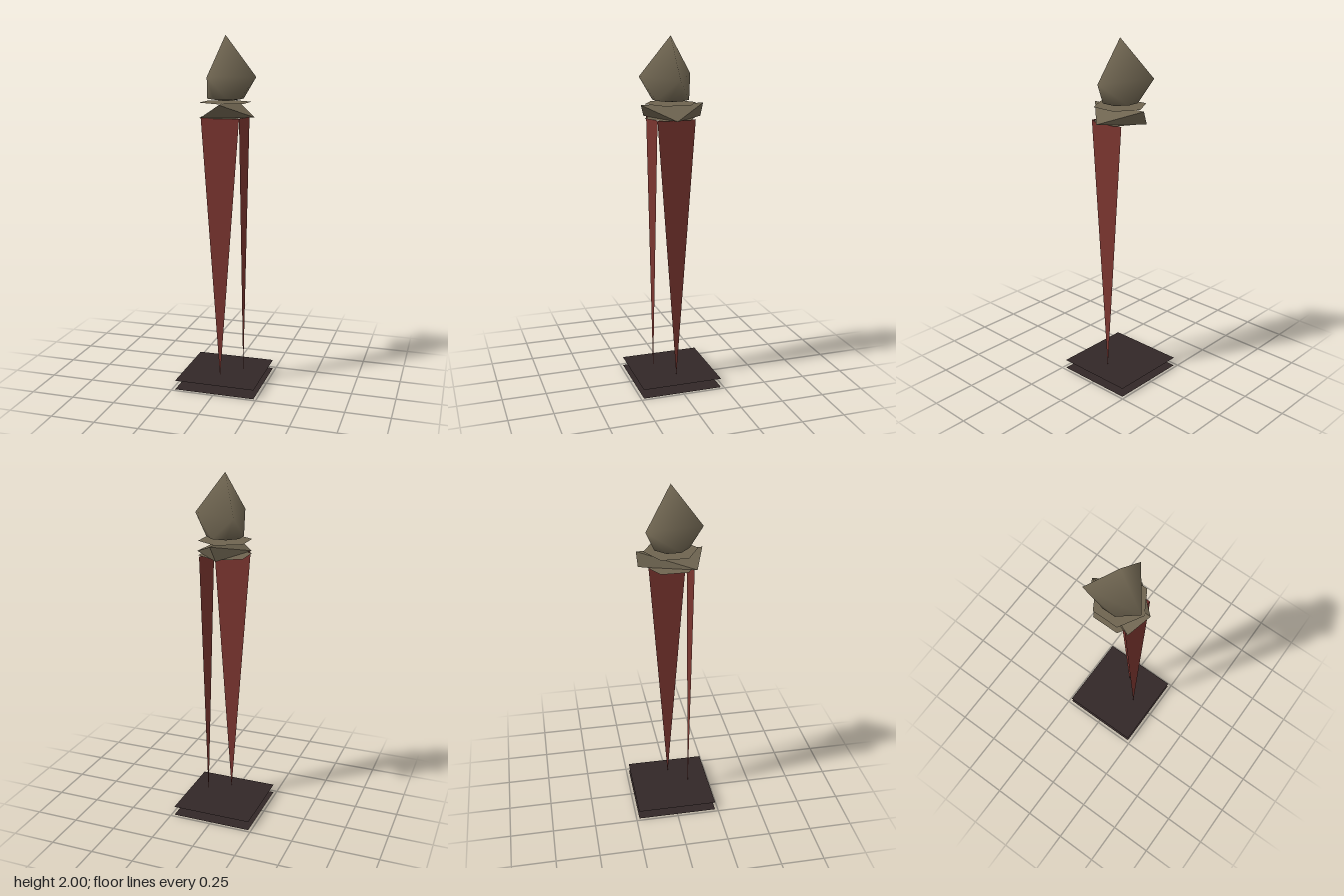
import * as THREE from 'three';
import { mergeVertices } from 'three/addons/utils/BufferGeometryUtils.js';
import { ConvexGeometry } from 'three/addons/geometries/ConvexGeometry.js';

const V = (x, y, z) => new THREE.Vector3(x, y, z);

export function createModel() {
  const group = new THREE.Group();
  const mat = (name, color) => {
    const m = new THREE.MeshStandardMaterial({ color, side: THREE.DoubleSide });
    m.name = name;
    return m;
  };
  const red = mat('dull red', 0x7a352f);
  const dark = mat('dark brown', 0x322727);
  const stone = mat('khaki stone', 0x6e6450);

  const add = (name, geometry, material) => {
    const mesh = new THREE.Mesh(geometry, material);
    mesh.name = name;
    group.add(mesh);
    return mesh;
  };

  // Base: two thin square sheets, one above the other
  for (const [name, y] of [['baseLower', 0], ['baseUpper', 0.053]]) {
    add(name, new THREE.PlaneGeometry(0.466, 0.466).rotateX(-Math.PI / 2), dark).position.y = y;
  }

  // Post: one tapering triangle on the front and one on the +x side
  const blade = new THREE.Shape([
    new THREE.Vector2(0, 0.055), new THREE.Vector2(0.109, 1.555), new THREE.Vector2(-0.109, 1.555),
  ]);
  add('postFront', new THREE.ShapeGeometry(blade), red).position.z = 0.109;
  const side = add('postSide', new THREE.ShapeGeometry(blade), red);
  side.position.x = 0.109;
  side.rotation.y = Math.PI / 2;

  // Collar: two hexagonal sheets with a skewed wedge between them
  for (const [name, y] of [['collarLower', 1.555], ['collarUpper', 1.635]]) {
    add(name, new THREE.CircleGeometry(0.149, 6, Math.PI / 2).rotateX(-Math.PI / 2), stone).position.y = y;
  }
  add('collarWedge', new ConvexGeometry([
    V(0.015, 1.633, 0.175), V(0.015, 1.633, -0.185),
    V(-0.108, 1.556, 0.125), V(0.172, 1.556, 0.015), V(-0.015, 1.556, -0.18),
  ]), stone);

  // Finial: three-sided point over a round foot, shaded smoothly
  const points = [
    V(0, 2, 0), V(-0.105, 1.785, -0.15), V(0.175, 1.775, 0), V(-0.055, 1.78, 0.165), V(0, 1.64, 0),
  ];
  for (let i = 0; i < 8; i++) {
    const a = ((i + 0.5) / 8) * Math.PI * 2;
    points.push(V(0.102 * Math.cos(a), 1.655, 0.102 * Math.sin(a)));
  }
  const hull = new ConvexGeometry(points);
  hull.deleteAttribute('normal');
  const finial = mergeVertices(hull);
  finial.computeVertexNormals();
  add('finial', finial, stone);

  return group;
}
